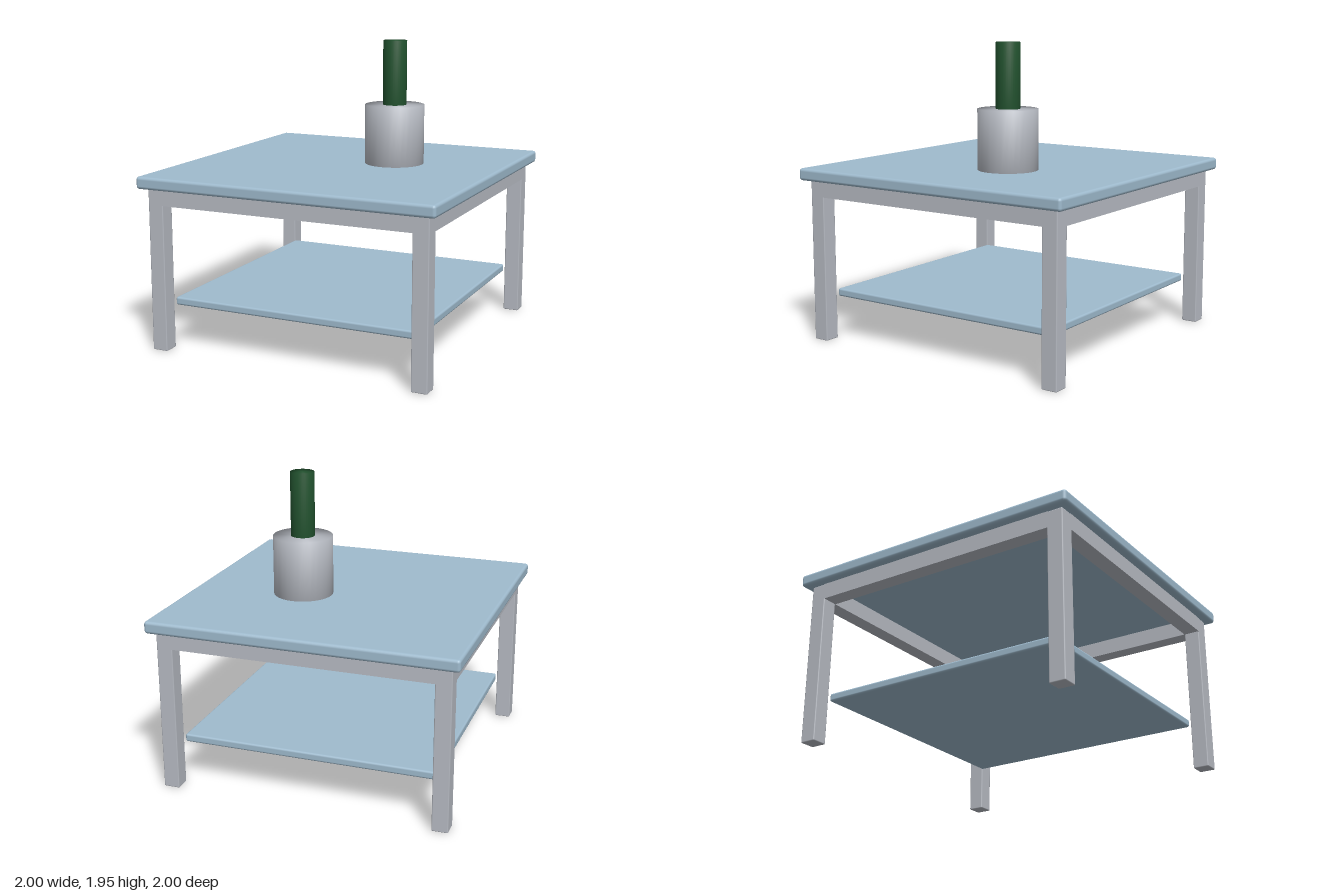
import * as THREE from 'three';
import { mergeVertices } from 'three/addons/utils/BufferGeometryUtils.js';
import { RoundedBoxGeometry } from 'three/addons/geometries/RoundedBoxGeometry.js';

const paint = (name, color) => {
  const material = new THREE.MeshStandardMaterial({ color });
  material.name = name;
  return material;
};

export function createModel() {
  const table = new THREE.Group();
  table.name = 'sideTable';
  const blue = paint('paleBlue', 0x9fbbce);
  const grey = paint('lightGrey', 0xb8bcc4);
  const green = paint('darkGreen', 0x235430);

  const add = (name, geometry, material, x, y, z) => {
    const mesh = new THREE.Mesh(geometry, material);
    mesh.name = name;
    mesh.position.set(x, y, z);
    table.add(mesh);
    return mesh;
  };

  // Cylinder whose rims are shaded softly into its flat ends
  const softCylinder = (radius, height) => {
    const geometry = new THREE.CylinderGeometry(radius, radius, height, 32);
    geometry.deleteAttribute('normal');
    geometry.deleteAttribute('uv');
    const merged = mergeVertices(geometry);
    merged.computeVertexNormals();
    return merged;
  };

  // Table top and lower shelf
  add('tableTop', new RoundedBoxGeometry(2, 0.08, 2, 2, 0.02), blue, 0, 1.1, 0);
  add('shelf', new RoundedBoxGeometry(1.67, 0.052, 1.67, 2, 0.013), blue, 0, 0.309, 0);

  // Four square legs
  const outer = 0.945, thick = 0.105, middle = outer - thick / 2;
  for (const sx of [-1, 1]) {
    for (const sz of [-1, 1]) {
      add('leg', new RoundedBoxGeometry(thick, 1.06, thick, 1, 0.007), grey, sx * middle, 0.53, sz * middle);
    }
  }

  // Apron rails, flush with the legs
  const span = 2 * (outer - thick) + 0.02;
  for (const s of [-1, 1]) {
    add('apronRail', new THREE.BoxGeometry(span, 0.105, thick), grey, 0, 1.0075, s * middle);
    add('apronRail', new THREE.BoxGeometry(thick, 0.105, span), grey, s * middle, 1.0075, 0);
  }

  // Pot with a stem standing on it
  add('pot', softCylinder(0.195, 0.39), grey, 0.275, 1.335, -0.14);
  add('stem', softCylinder(0.078, 0.42), green, 0.275, 1.74, -0.14);
  return table;
}
